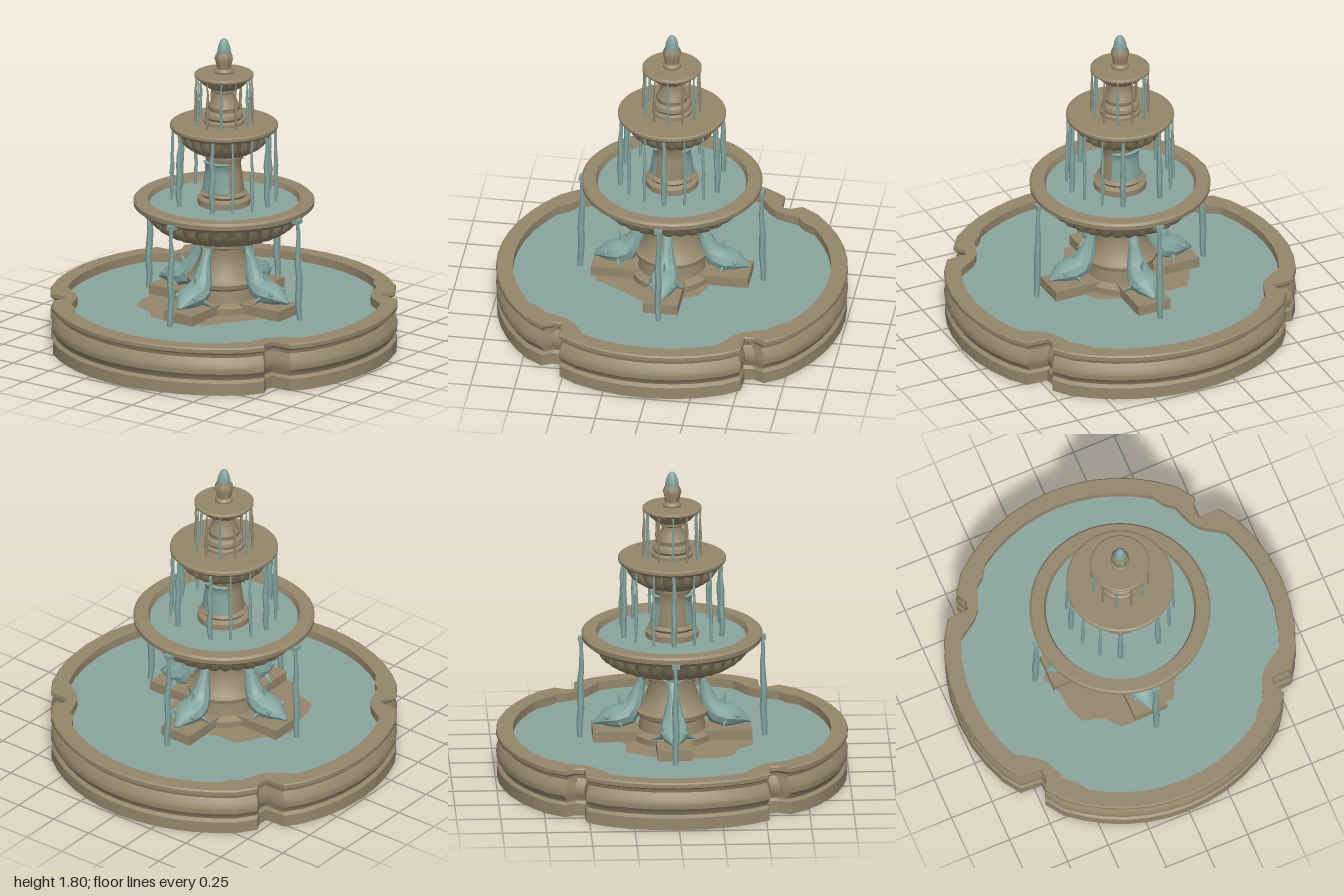
import * as THREE from 'three';
import { toCreasedNormals } from 'three/addons/utils/BufferGeometryUtils.js';

const stone = new THREE.MeshStandardMaterial({ color: 0x95876c });
stone.name = 'stone';
const water = new THREE.MeshStandardMaterial({ color: 0x8ba59e });
water.name = 'water';
const patina = new THREE.MeshStandardMaterial({ color: 0x82a39d });
patina.name = 'patina';

const add = (parent, name, geometry, material, crease = 0.6) => {
  const mesh = new THREE.Mesh(toCreasedNormals(geometry, crease), material);
  mesh.name = name;
  parent.add(mesh);
  return mesh;
};

// Skin over closed rings of [x, y, z]; optional flat caps at both ends
function loft(rings, caps = false) {
  const n = rings[0].length, pos = rings.flat(2), index = [];
  for (let j = 0; j < rings.length - 1; j++) {
    for (let i = 0; i < n; i++) {
      const k = (i + 1) % n, a = j * n, b = a + n;
      index.push(a + i, b + i, b + k, a + i, b + k, a + k);
    }
  }
  if (caps) {
    const last = (rings.length - 1) * n;
    for (let i = 1; i < n - 1; i++) index.push(0, i, i + 1, last, last + i + 1, last + i);
  }
  const g = new THREE.BufferGeometry();
  g.setAttribute('position', new THREE.Float32BufferAttribute(pos, 3));
  g.setIndex(index);
  return g;
}

const lathe = (profile, segments, start = 0, sweep = Math.PI * 2) =>
  new THREE.LatheGeometry(profile.map(([r, y]) => new THREE.Vector2(r, y)), segments, start, sweep);

// Turned bowl with lobes carved between two heights
function flutedBowl(profile, lobes, y0, y1, depth) {
  const g = lathe(profile, lobes * 6), p = g.attributes.position;
  for (let i = 0; i < p.count; i++) {
    const x = p.getX(i), y = p.getY(i), z = p.getZ(i);
    if (y <= y0 || y >= y1) continue;
    const s = 1 - depth * (1 - Math.abs(Math.sin(Math.atan2(z, x) * lobes / 2)));
    p.setXYZ(i, x * s, y, z * s);
  }
  return g;
}

// Flat polygon from an outline, seen from above or below
function plate(outline, y, up = true) {
  const g = new THREE.ShapeGeometry(new THREE.Shape(outline.map(([x, z]) => new THREE.Vector2(x, -z))));
  g.rotateX(-Math.PI / 2);
  if (!up) g.rotateX(Math.PI).scale(1, 1, 1);
  return g.translate(0, y, 0);
}

const polar = (deg, r) => [r * Math.cos(deg * Math.PI / 180), r * Math.sin(deg * Math.PI / 180)];

// Mirror one quarter outline into a full loop
function fourfold(q, r) {
  const rest = q.slice(1), back = [...rest].reverse();
  return [
    ...q, [0, r], ...back.map(([x, z]) => [-x, z]), [-r, 0],
    ...rest.map(([x, z]) => [-x, -z]), [0, -r], ...back.map(([x, z]) => [x, -z]),
  ];
}

function addBasin(group) {
  const R = 0.995, I = 0.9;
  const outer = fourfold([
    ...[0, 7, 14, 21, 28, 35, 42].map(a => polar(a, R)),
    [0.64, 0.735], [0.58, 0.705], [0.525, 0.71], [0.52, 0.835],
    ...[65, 73, 81].map(a => polar(a, R)),
  ], R);
  const inner = fourfold([
    ...[0, 7, 14, 21, 28, 35].map(a => polar(a, I)),
    [0.67, 0.56], [0.63, 0.61], [0.57, 0.63], [0.5, 0.66], [0.455, 0.7],
    ...[65, 73, 81].map(a => polar(a, I)),
  ], I);
  const ring = (o, s, y) => o.map(([x, z]) => [x * s, y, z * s]);
  const wall = [[0.95, 0.01], [0.95, 0], [0.995, 0], [0.995, 0.07], [0.975, 0.085], [0.98, 0.1],
    [0.998, 0.125], [1, 0.155], [0.988, 0.185], [0.966, 0.215], [0.972, 0.235], [1, 0.25], [1, 0.272], [0.993, 0.28]];
  add(group, 'basinWall', loft([
    ...wall.map(([s, y]) => ring(outer, s, y)), ring(inner, 1, 0.28), ring(inner, 1, 0.225),
  ]), stone, 0.45);
  add(group, 'basinWater', plate(inner, 0.23), water);
  add(group, 'basinUnderside', plate(outer.map(([x, z]) => [x * 0.955, z * 0.955]), 0.008, false), water);
  // Bare stone floor showing around the pedestal
  const patch = [];
  for (let i = 0; i < 22; i++) {
    const [x, z] = polar(i * 360 / 22, 0.38 + 0.03 * Math.sin(i * 2.3));
    patch.push([x - 0.07, z - 0.07]);
  }
  add(group, 'floorPatch', plate(patch, 0.234), stone);
}

// Leaping fish with its head outward along +z
function makeFish() {
  const fish = new THREE.Group();
  fish.name = 'fish';
  // z, y, half width, half height from snout to tail
  const body = [[0.445, 0.315, 0.01, 0.008], [0.41, 0.33, 0.035, 0.025], [0.37, 0.345, 0.065, 0.05],
    [0.31, 0.355, 0.085, 0.066], [0.25, 0.372, 0.075, 0.066], [0.215, 0.42, 0.058, 0.055],
    [0.195, 0.48, 0.042, 0.042], [0.18, 0.54, 0.028, 0.028], [0.16, 0.6, 0.03, 0.014]];
  const rings = body.map(([z, y, w, h], j) => {
    const a = body[Math.max(j - 1, 0)], b = body[Math.min(j + 1, body.length - 1)];
    const l = Math.hypot(b[0] - a[0], b[1] - a[1]), nz = (b[1] - a[1]) / l, ny = (a[0] - b[0]) / l;
    return Array.from({ length: 10 }, (_, i) => {
      const t = i / 10 * Math.PI * 2, v = h * Math.sin(t);
      return [w * Math.cos(t), y + v * ny, z + v * nz];
    });
  });
  add(fish, 'fishBody', loft(rings, true), patina);
  const fin = (name, r, h, scale, position, rotation) => {
    const m = add(fish, name, new THREE.ConeGeometry(r, h, 6), patina, 0.3);
    m.scale.set(...scale);
    m.position.set(...position);
    m.rotation.set(...rotation);
  };
  fin('backFin', 0.04, 0.12, [0.3, 1, 1], [0, 0.435, 0.285], [0.35, 0, 0]);
  fin('lowerJaw', 0.035, 0.09, [1, 1, 0.5], [0, 0.305, 0.39], [Math.PI / 2, 0, 0]);
  for (const s of [-1, 1]) {
    fin('sideFin', 0.035, 0.1, [1, 1, 0.35], [s * 0.085, 0.32, 0.29], [0.5, 0, -s * 2]);
    fin('tailFluke', 0.03, 0.09, [1, 1, 0.4], [s * 0.03, 0.6, 0.165], [0.2, 0, -s * 0.9]);
    const eye = add(fish, 'eye', new THREE.SphereGeometry(0.014, 8, 6), patina);
    eye.position.set(s * 0.062, 0.365, 0.37);
  }
  add(fish, 'fishPlinth', new THREE.BoxGeometry(0.2, 0.07, 0.32).translate(0, 0.255, 0.29), stone);
  return fish;
}

// Falling strand of water, swelling and wavering on the way down
function addStream(group, name, deg, r, top, bottom, thick, material = patina) {
  const [cx, cz] = polar(deg, r), rings = [], steps = 7;
  for (let j = 0; j <= steps; j++) {
    const t = j / steps, wave = thick * 0.35 * Math.sin(j * 2.1 + deg);
    const w = thick * (0.55 + 0.45 * Math.sin(Math.PI * Math.min(1, 0.15 + t)));
    const out = 1 - 0.02 * t;
    rings.push(Array.from({ length: 6 }, (_, i) => {
      const [x, z] = polar(i * 60, w);
      return [cx * out + x + wave * 0.5, bottom + (top - bottom) * t, cz * out + z + wave * 0.5];
    }));
  }
  add(group, name, loft(rings, true), material);
}

export function createModel() {
  const group = new THREE.Group();
  group.name = 'fountain';
  addBasin(group);

  // Pedestal and fish
  add(group, 'pedestal', lathe([[0.23, 0.22], [0.23, 0.27], [0.19, 0.29], [0.18, 0.36], [0.205, 0.375], [0.21, 0.4],
    [0.185, 0.415], [0.155, 0.47], [0.13, 0.54], [0.135, 0.59], [0.17, 0.605], [0.17, 0.63], [0.14, 0.65]], 32), stone);
  for (let i = 0; i < 4; i++) {
    const fish = makeFish();
    fish.rotation.y = i * Math.PI / 2;
    group.add(fish);
  }

  // Lower bowl
  add(group, 'lowerBowl', flutedBowl([[0.13, 0.635], [0.2, 0.642], [0.27, 0.652], [0.34, 0.675], [0.395, 0.71],
    [0.43, 0.75], [0.445, 0.785], [0.455, 0.795], [0.48, 0.8], [0.49, 0.815], [0.51, 0.825], [0.512, 0.85],
    [0.5, 0.862], [0.43, 0.862], [0.415, 0.82]], 32, 0.641, 0.79, 0.07), stone);
  add(group, 'lowerBowlWater', new THREE.CircleGeometry(0.425, 40).rotateX(-Math.PI / 2).translate(0, 0.83, 0), water);

  // Middle column with weathered panels on both sides
  add(group, 'middleColumn', lathe([[0.15, 0.82], [0.15, 0.865], [0.125, 0.88], [0.135, 0.895], [0.115, 0.91],
    [0.11, 0.96], [0.1, 1.03], [0.095, 1.07], [0.105, 1.1], [0.11, 1.12], [0.1, 1.15]], 28), stone);
  for (const side of [0, Math.PI]) {
    add(group, 'columnPanel', lathe([[0.11, 0.905], [0.124, 0.915], [0.118, 0.96], [0.108, 1.03], [0.106, 1.06],
      [0.12, 1.085], [0.1, 1.09]], 10, side + Math.PI / 2 - 0.85, 1.7), patina);
  }

  // Middle bowl
  add(group, 'middleBowl', flutedBowl([[0.08, 1.115], [0.11, 1.125], [0.17, 1.145], [0.225, 1.18], [0.255, 1.22],
    [0.268, 1.255], [0.28, 1.268], [0.298, 1.275], [0.305, 1.285], [0.305, 1.3], [0.295, 1.307], [0, 1.307]],
    24, 1.12, 1.258, 0.09), stone);

  // Upper column
  add(group, 'upperColumn', lathe([[0.115, 1.3], [0.115, 1.325], [0.1, 1.335], [0.11, 1.35], [0.105, 1.37], [0.085, 1.385],
    [0.09, 1.41], [0.075, 1.44], [0.06, 1.47], [0.058, 1.49], [0.075, 1.5], [0.075, 1.52], [0.06, 1.54]], 24), stone);

  // Upper bowl
  add(group, 'upperBowl', flutedBowl([[0.05, 1.505], [0.075, 1.512], [0.11, 1.53], [0.135, 1.555], [0.142, 1.572],
    [0.16, 1.578], [0.168, 1.585], [0.168, 1.595], [0.16, 1.602], [0, 1.602]], 18, 1.508, 1.57, 0.1), stone);

  // Finial and its jet
  add(group, 'finial', flutedBowl([[0.05, 1.6], [0.052, 1.615], [0.04, 1.63], [0.046, 1.66], [0.054, 1.69],
    [0.048, 1.71], [0.034, 1.73], [0, 1.735]], 7, 1.64, 1.72, 0.15), stone);
  add(group, 'jet', lathe([[0.036, 1.69], [0.04, 1.72], [0.034, 1.76], [0.022, 1.79], [0.01, 1.803], [0, 1.804]], 9), patina);

  // Streams from each bowl
  for (let i = 0; i < 4; i++) {
    addStream(group, 'lowerStream', i * 90, 0.522, 0.82, 0.23, 0.02);
    const [x, z] = polar(i * 90, 0.5);
    const lip = add(group, 'streamLip', new THREE.BoxGeometry(0.06, 0.025, 0.045).translate(0, 0.815, 0), patina);
    lip.position.set(x, 0, z);
    lip.rotation.y = i * Math.PI / 2;
  }
  for (let i = 0; i < 16; i++) {
    if (i % 8 === 0) continue;
    const thick = i % 8 === 1 || i % 8 === 7 || i % 8 === 4;
    addStream(group, 'middleStream', i * 22.5, 0.302, 1.275, 0.86, thick ? 0.018 : 0.01);
  }
  for (let i = 0; i < 12; i++) {
    addStream(group, 'upperStream', i * 30, 0.162, 1.585, 1.305, 0.008, i % 2 ? patina : stone);
  }
  return group;
}
